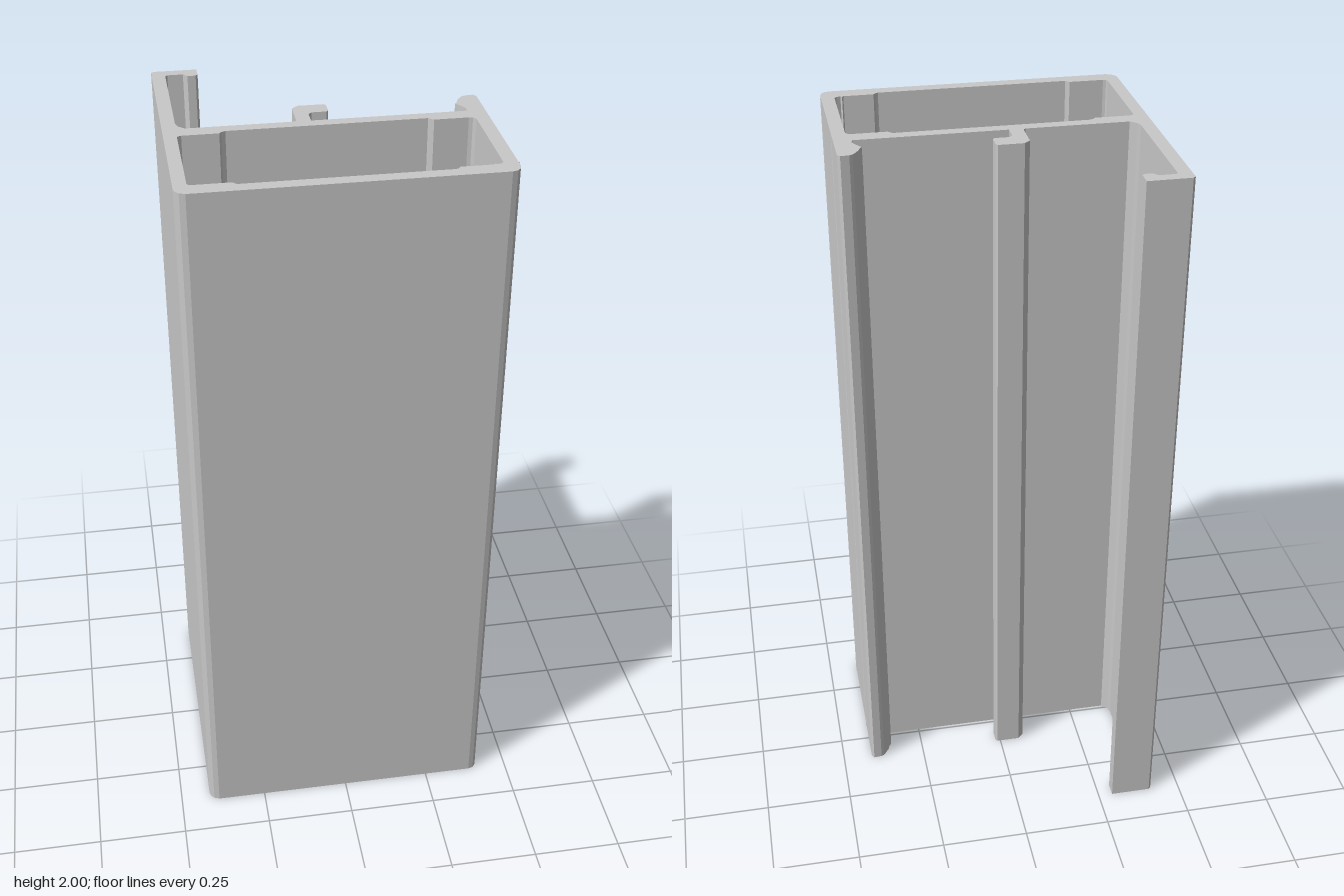
import * as THREE from 'three';

const HEIGHT = 2;

// Cross-section points are [x, z]; the shape plane's y is -z.
const toPoints = (pts) => pts.map(([x, z]) => new THREE.Vector2(x, -z));

// Outer outline (clockwise): box section, hooked flange, centre hook and snap lip
const outline = [
  // hooked flange on the right-hand side
  [-0.415, -0.382], [-0.408, -0.389], [-0.292, -0.389], [-0.292, -0.351], [-0.298, -0.344],
  [-0.32, -0.344], [-0.331, -0.358], [-0.373, -0.358], [-0.379, -0.352],
  [-0.379, -0.023], [-0.374, -0.006], [-0.357, 0.01],
  // centre hook
  [-0.081, 0.01], [-0.075, 0.004], [-0.075, -0.075], [-0.059, -0.091], [0.01, -0.091],
  [0.015, -0.084], [0.015, -0.048], [0.01, -0.042], [-0.029, -0.042], [-0.038, -0.032], [-0.038, 0.01],
  // snap lip
  [0.364, 0.01], [0.368, -0.002], [0.364, -0.013], [0.353, -0.032], [0.346, -0.041],
  [0.353, -0.05], [0.356, -0.061], [0.368, -0.079], [0.374, -0.087], [0.383, -0.091],
  [0.406, -0.093], [0.413, -0.083],
  // side wall with two fine raised lines
  [0.413, 0.053], [0.415, 0.056], [0.413, 0.059],
  [0.413, 0.335], [0.415, 0.338], [0.413, 0.341],
  // rounded front corners
  [0.413, 0.358], [0.409, 0.374], [0.4, 0.385], [0.386, 0.389],
  [-0.388, 0.389], [-0.403, 0.383], [-0.411, 0.374], [-0.415, 0.362],
];

// Hollow chamber (wound against the outline) with thicker walls near the corners
const chamber = [
  [-0.381, 0.333], [-0.378, 0.34], [-0.37, 0.343], [-0.275, 0.343], [-0.27, 0.349], [-0.265, 0.354],
  [0.257, 0.354], [0.264, 0.351], [0.27, 0.343], [0.352, 0.343], [0.356, 0.338], [0.36, 0.343],
  [0.371, 0.34], [0.377, 0.332],
  [0.377, 0.065], [0.37, 0.057], [0.36, 0.054], [0.27, 0.054], [0.262, 0.047], [0.257, 0.042],
  [-0.259, 0.042], [-0.27, 0.047], [-0.275, 0.054], [-0.37, 0.054], [-0.379, 0.058], [-0.381, 0.064],
];

export function createModel() {
  const aluminium = new THREE.MeshStandardMaterial({ color: 0xc8c8c8 });
  aluminium.name = 'aluminium grey';

  const section = new THREE.Shape(toPoints(outline));
  section.holes.push(new THREE.Path(toPoints(chamber)));

  // Extrude the section and stand it upright
  const geometry = new THREE.ExtrudeGeometry(section, { depth: HEIGHT, bevelEnabled: false });
  geometry.rotateX(-Math.PI / 2);

  const profile = new THREE.Mesh(geometry, aluminium);
  profile.name = 'extrudedFrameProfile';

  const model = new THREE.Group();
  model.name = 'frameProfile';
  model.add(profile);
  return model;
}
